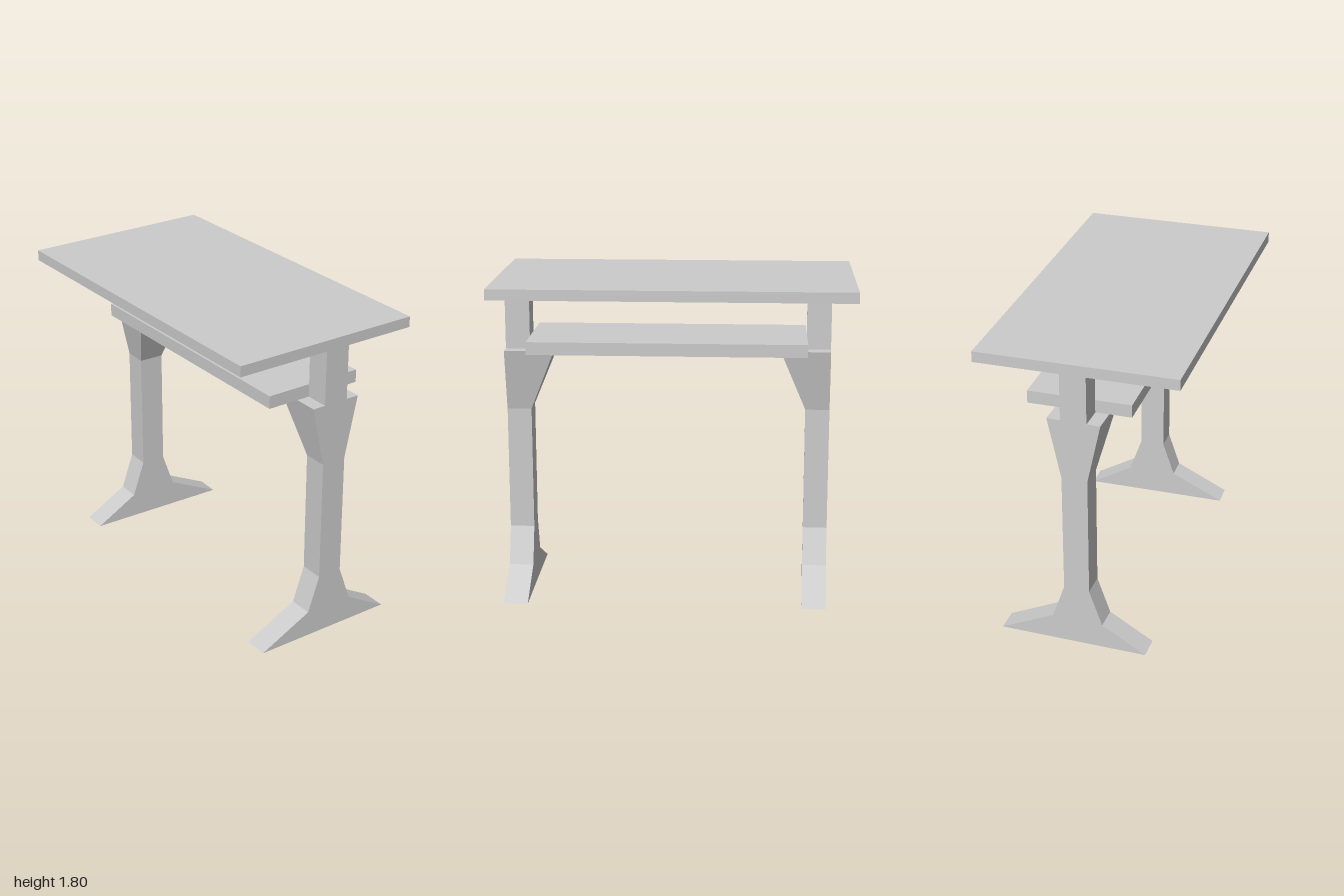
import * as THREE from 'three';

const material = new THREE.MeshStandardMaterial({ color: 0xcccccc, flatShading: true });

const POST_W = 0.146, POST_D = 0.137; // post section
const GUSSET_LOW = 1.055, GUSSET_TOP = 1.403;
const SHELF_TOP = 1.475, TOP_LOW = 1.74, TOP_HIGH = 1.8;

function mesh(name, geometry) {
  const m = new THREE.Mesh(geometry, material);
  m.name = name;
  return m;
}

// Box given by its lower and upper corners
function block(name, [x0, y0, z0], [x1, y1, z1]) {
  const g = new THREE.BoxGeometry(x1 - x0, y1 - y0, z1 - z0);
  g.translate((x0 + x1) / 2, (y0 + y1) / 2, (z0 + z1) / 2);
  return mesh(name, g);
}

// One leg centred on its post, outer face towards +z
function createLeg(name) {
  const leg = new THREE.Group();
  leg.name = name;
  const w = POST_W / 2, d = POST_D / 2;

  // Splayed foot running up into the post; one toe is a little longer
  const profile = [
    [-0.453, 0], [0.397, 0], [0.147, 0.145], [w, 0.355],
    [w, GUSSET_LOW], [-w, GUSSET_LOW], [-w, 0.355], [-0.143, 0.15],
  ].map(([x, y]) => new THREE.Vector2(x, y));
  const foot = new THREE.ExtrudeGeometry(new THREE.Shape(profile), { depth: POST_D, bevelEnabled: false });
  foot.translate(0, 0, -d);
  leg.add(mesh('footAndPost', foot));

  // Bracket that flares sideways and inwards to carry the shelf
  const h = GUSSET_TOP - GUSSET_LOW;
  const flare = new THREE.BoxGeometry(POST_W, h, POST_D);
  const p = flare.attributes.position;
  for (let i = 0; i < p.count; i++) {
    if (p.getY(i) < 0) continue;
    p.setX(i, Math.sign(p.getX(i)) * 0.149);
    if (p.getZ(i) < 0) p.setZ(i, -d - 0.142);
  }
  flare.translate(0, GUSSET_LOW + h / 2, 0);
  flare.computeVertexNormals();
  leg.add(mesh('bracket', flare));

  // Upper post up to the table top
  leg.add(block('upperPost', [-w, GUSSET_TOP, -d], [w, TOP_LOW, d]));
  return leg;
}

export function createModel() {
  const table = new THREE.Group();
  table.name = 'table';

  table.add(block('tableTop', [-0.55, TOP_LOW, -1], [0.55, TOP_HIGH, 1]));
  table.add(block('shelf', [-0.224, GUSSET_TOP, -0.74], [0.356, SHELF_TOP, 0.813]));

  const front = createLeg('frontLeg');
  front.position.set(0.108, 0, 0.882);

  // The back leg is turned around, slightly askew
  const back = createLeg('backLeg');
  back.position.set(0.052, 0, -0.808);
  back.rotation.y = Math.PI - 0.028;

  table.add(front, back);
  return table;
}
